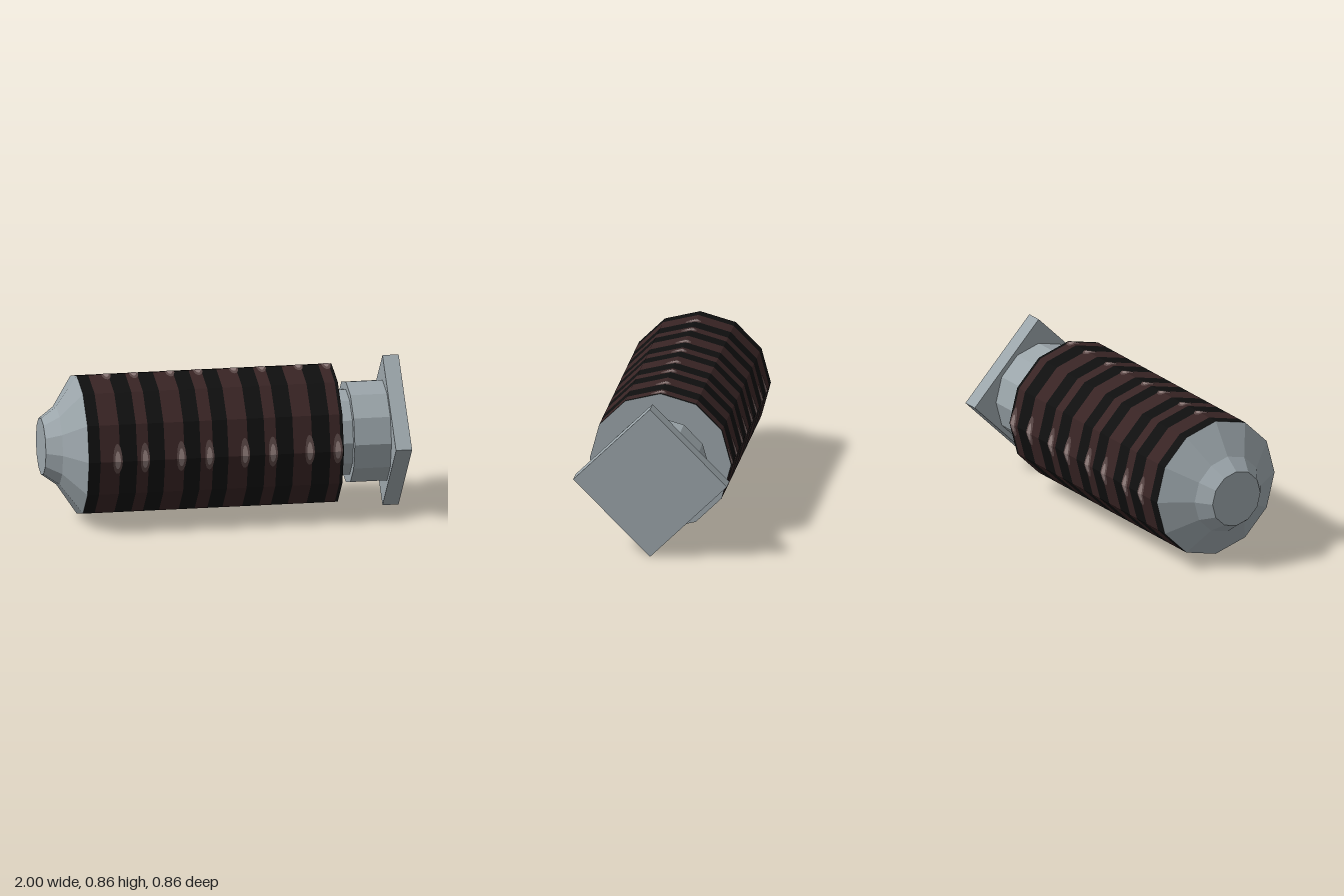
import * as THREE from 'three';

const CY = 0.428; // height of the long axis
const R = 0.394;  // radius of the striped barrel

export function createModel() {
  const model = new THREE.Group();
  model.name = 'stripedPlug';

  const mat = (name, color) => {
    const m = new THREE.MeshStandardMaterial({ color });
    m.name = name;
    m.flatShading = true;
    return m;
  };
  const steel = mat('steel', 0x9ba5aa);
  const black = mat('black', 0x0f0f0f);
  const brown = mat('darkBrown', 0x382424);
  const taupe = mat('taupe', 0x594645);
  const pale = mat('paleTaupe', 0x8a7876);

  // Faceted section along x, from x0 (radius r0) to x1 (radius r1)
  const section = (name, x0, x1, r0, r1, material, sides = 12, open = false) => {
    const mesh = new THREE.Mesh(new THREE.CylinderGeometry(r1, r0, x1 - x0, sides, 1, open), material);
    mesh.rotation.z = -Math.PI / 2;
    mesh.position.set((x0 + x1) / 2, CY, 0);
    mesh.name = name;
    model.add(mesh);
  };

  // Steel nose, neck, collar and square head
  section('noseTip', -1, -0.915, 0.16, 0.222, steel);
  section('noseCone', -0.915, -0.8, 0.222, R, steel);
  section('neck', 0.62, 0.705, 0.243, 0.243, steel);
  section('collar', 0.705, 0.91, 0.286, 0.286, steel);
  section('squareHead', 0.91, 1, 0.4285, 0.4285, steel, 4);

  // Steel end plate closing the barrel
  const plate = new THREE.Mesh(new THREE.CircleGeometry(R, 12), steel);
  plate.rotation.y = Math.PI / 2;
  plate.position.set(0.625, CY, 0);
  plate.name = 'barrelEndPlate';
  model.add(plate);

  // Barrel: alternating black and brown bands
  const cuts = [-0.8, -0.735, -0.625, -0.53, -0.465, -0.375, -0.265, -0.175, -0.105,
    -0.02, 0.09, 0.185, 0.25, 0.345, 0.45, 0.55, 0.608, 0.625];
  for (let i = 0; i < cuts.length - 1; i++) {
    const dark = i % 2 === 0;
    section(dark ? 'blackBand' : 'brownBand', cuts[i], cuts[i + 1], R, R, dark ? black : brown, 12, true);
  }

  // Worn spots folded over the four main ridges of the barrel
  const upperHalf = new THREE.CircleGeometry(1, 10, 0, Math.PI);
  const lowerHalf = new THREE.CircleGeometry(1, 10, Math.PI, Math.PI);
  const fold = Math.PI / 12;
  const spot = (x, up, down) => {
    const g = new THREE.Group();
    g.name = 'wornSpot';
    [[taupe, 1, 0.002], [pale, 0.6, 0.004]].forEach(([material, k, lift]) => {
      [[upperHalf, up, -fold], [lowerHalf, down, fold]].forEach(([geo, h, tilt]) => {
        const half = new THREE.Mesh(geo, material);
        half.scale.set(0.026 * k, h * k, 1);
        half.rotation.x = tilt;
        half.position.set(x, 0, R + lift);
        half.name = k === 1 ? 'spotEdge' : 'spotCentre';
        g.add(half);
      });
    });
    return g;
  };
  const spotX = [-0.638, -0.485, -0.282, -0.125, 0.074, 0.23, 0.436, 0.593];
  // [turn about x, reach to one side, reach to the other]
  const ridges = [[0, 0.1, 0.075], [-Math.PI / 2, 0.03, 0.06], [Math.PI, 0.075, 0.1], [Math.PI / 2, 0.06, 0.03]];
  for (const [turn, up, down] of ridges) {
    const row = new THREE.Group();
    row.name = 'spotRow';
    row.rotation.x = turn;
    row.position.y = CY;
    spotX.forEach((x) => row.add(spot(x, up, down)));
    model.add(row);
  }
  return model;
}
